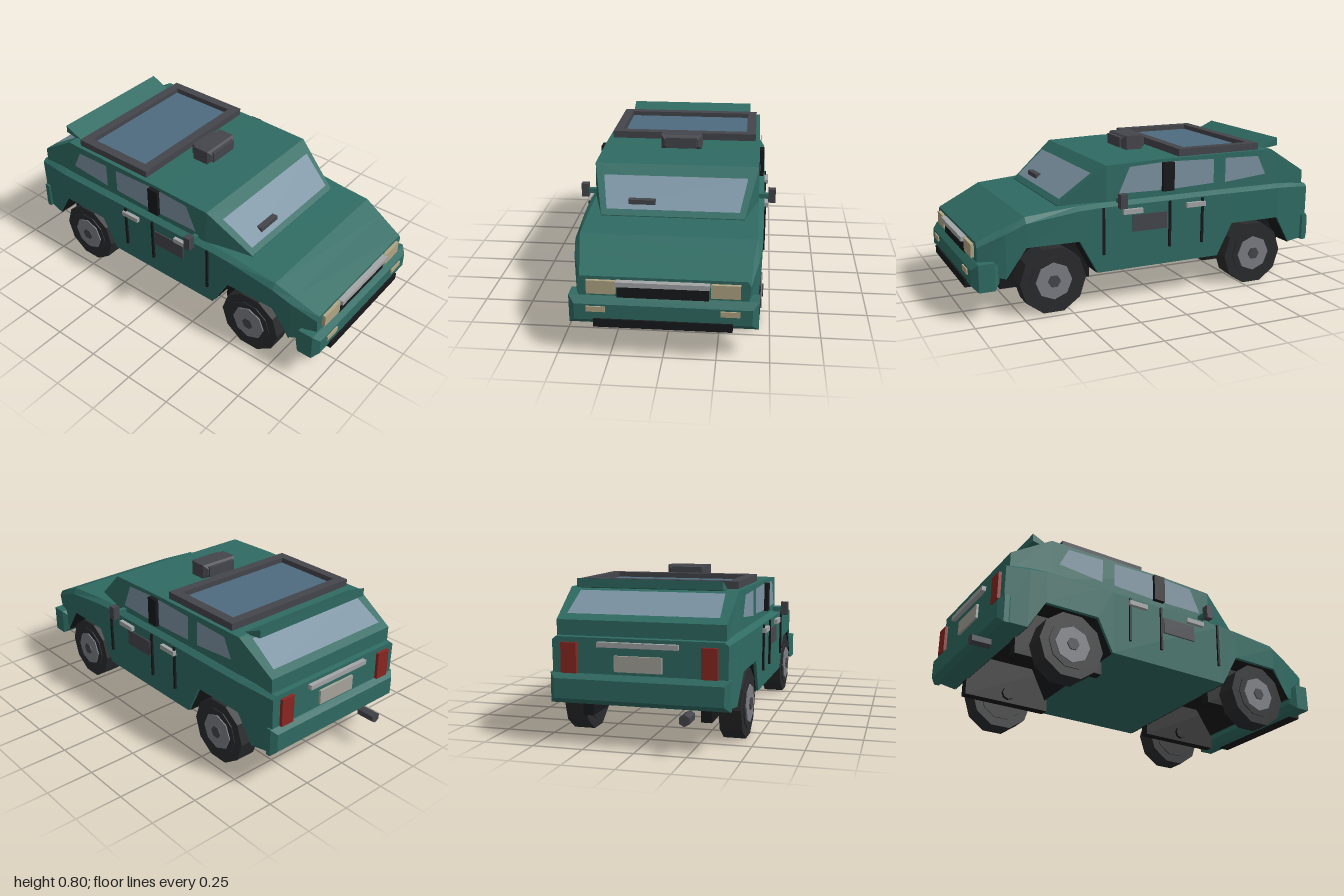
import * as THREE from 'three';

const mat = (color) => new THREE.MeshStandardMaterial({ color, flatShading: true, side: THREE.DoubleSide });
const paint = mat(0x2f6b63), black = mat(0x17181a), dark = mat(0x45464c), tyreMat = mat(0x2a2b2d);
const glass = mat(0x7b93a2), roofGlass = mat(0x4f6b80), chrome = mat(0xa3a5a6), lampMat = mat(0xb0a584);
const red = mat(0x8a2722), hubMat = mat(0x7c7e84), plateMat = mat(0xa8a59c);

export function createModel() {
  const car = new THREE.Group();
  car.name = 'car';

  const add = (name, geometry, material, x = 0, y = 0, z = 0, parent = car) => {
    const mesh = new THREE.Mesh(geometry, material);
    mesh.name = name;
    mesh.position.set(x, y, z);
    parent.add(mesh);
    return mesh;
  };

  // Box given by its limits on each axis
  const box = (name, material, [x0, x1], [y0, y1], [z0, z1]) =>
    add(name, new THREE.BoxGeometry(Math.abs(x1 - x0), Math.abs(y1 - y0), Math.abs(z1 - z0)), material,
      (x0 + x1) / 2, (y0 + y1) / 2, (z0 + z1) / 2);

  // The same box on both sides
  const pair = (name, material, [x0, x1], ys, zs) => {
    box('left' + name, material, [x0, x1], ys, zs);
    box('right' + name, material, [-x1, -x0], ys, zs);
  };

  // Box with all edges cut at 45 degrees
  const chamferBox = (w, h, d, c) => {
    const a = w / 2 - c, b = h / 2 - c;
    const shape = new THREE.Shape([[-a, -b], [a, -b], [a, b], [-a, b]].map((p) => new THREE.Vector2(...p)));
    return new THREE.ExtrudeGeometry(shape, {
      depth: d - 2 * c, bevelThickness: c, bevelSize: c, bevelSegments: 1,
    }).translate(0, 0, c - d / 2);
  };

  const mesh3 = (corners) => {
    const g = new THREE.BufferGeometry();
    g.setAttribute('position', new THREE.Float32BufferAttribute(corners.flat(), 3));
    g.computeVertexNormals();
    return g;
  };

  // Flat four-cornered panel
  const panel = (name, material, [a, b, c, d]) => add(name, mesh3([a, b, c, a, c, d]), material);

  // Mirrored cross-sections joined from front to back: [z, ...[halfWidth, y] from bottom to top]
  const loft = (stations) => {
    const rings = stations.map(([z, ...half]) => [
      ...half.map(([x, y]) => [x, y, z]),
      ...[...half].reverse().map(([x, y]) => [-x, y, z]),
    ]);
    const n = rings[0].length, out = [];
    for (let s = 0; s + 1 < rings.length; s++) {
      const a = rings[s], b = rings[s + 1];
      for (let i = 0; i < n; i++) {
        const j = (i + 1) % n;
        out.push(a[i], b[i], b[j], a[i], b[j], a[j]);
      }
    }
    const f = rings[0], r = rings[rings.length - 1];
    for (let i = 1; i + 1 < n; i++) out.push(f[0], f[i], f[i + 1], r[0], r[i + 1], r[i]);
    return mesh3(out);
  };

  // Lower body: z, floor y, floor half width, shoulder y and half width, top y and half width
  const lower = [
    [0.955, 0.23, 0.39, 0.365, 0.405, 0.39, 0.39],
    [0.82, 0.2, 0.435, 0.425, 0.438, 0.453, 0.412],
    [0.72, 0.35, 0.45, 0.47, 0.453, 0.5, 0.43],
    [0.445, 0.35, 0.455, 0.505, 0.456, 0.525, 0.428],
    [0.35, 0.175, 0.452, 0.51, 0.456, 0.53, 0.428],
    [-0.34, 0.18, 0.452, 0.515, 0.456, 0.535, 0.428],
    [-0.425, 0.35, 0.455, 0.515, 0.456, 0.535, 0.428],
    [-0.715, 0.35, 0.452, 0.515, 0.453, 0.535, 0.426],
    [-0.8, 0.2, 0.44, 0.51, 0.442, 0.53, 0.42],
    [-0.92, 0.21, 0.42, 0.5, 0.425, 0.515, 0.405],
  ];
  add('lowerBody', loft(lower.map(([z, yb, wb, ys, ws, yt, wt]) => [z, [wb, yb], [ws, ys], [wt, yt]])), paint);

  // Cabin
  add('cabin', loft([
    [0.53, [0.36, 0.5], [0.36, 0.522]],
    [0.29, [0.428, 0.5], [0.425, 0.715]],
    [0.0, [0.428, 0.5], [0.425, 0.724]],
    [-0.68, [0.426, 0.5], [0.42, 0.727]],
    [-0.895, [0.41, 0.5], [0.41, 0.592]],
  ]), paint);

  // Wheel wells, liners, axle stubs and wheels
  for (const [end, first, zc] of [['front', 1, 0.585], ['rear', 5, -0.565]]) {
    for (let i = first; i < first + 3; i++) {
      const [za, ya] = lower[i], [zb, yb] = lower[i + 1], w = 0.44;
      panel(end + 'WheelWell', black, [[-w, ya - 0.004, za], [w, ya - 0.004, za], [w, yb - 0.004, zb], [-w, yb - 0.004, zb]]);
    }
    pair(end + 'WheelLiner', black, [0.268, 0.32], [0.115, 0.355], [zc - 0.24, zc + 0.24]);
    for (const side of [1, -1]) {
      const wheel = new THREE.Group();
      wheel.name = (side > 0 ? 'left' : 'right') + (end === 'front' ? 'FrontWheel' : 'RearWheel');
      wheel.position.set(0, 0.165, zc);
      const disc = (name, r, x0, x1, sides, material) =>
        add(name, new THREE.CylinderGeometry(r, r, x1 - x0, sides).rotateZ(Math.PI / 2), material, side * (x0 + x1) / 2, 0, 0, wheel);
      disc('tyre', 0.173, 0.335, 0.445, 10, tyreMat);
      disc('sidewall', 0.125, 0.33, 0.45, 10, tyreMat);
      disc('hub', 0.095, 0.4, 0.456, 8, hubMat);
      disc('hubCap', 0.033, 0.44, 0.463, 6, dark);
      disc('axleStub', 0.035, 0.25, 0.34, 8, black);
      car.add(wheel);
    }
  }

  // Bumpers
  add('frontBumper', chamferBox(0.89, 0.14, 0.14, 0.03), paint, 0, 0.222, 0.92);
  add('rearBumper', chamferBox(0.87, 0.145, 0.075, 0.025), paint, 0, 0.272, -0.908);
  box('frontLip', black, [-0.325, 0.325], [0.15, 0.19], [0.93, 1]);

  // Nose: lamps and grille
  pair('Headlight', lampMat, [0.222, 0.358], [0.307, 0.374], [0.94, 0.972]);
  pair('FogLamp', lampMat, [0.268, 0.358], [0.226, 0.253], [0.97, 0.997]);
  box('grille', black, [-0.215, 0.212], [0.29, 0.352], [0.94, 0.967]);
  box('grilleTrim', chrome, [-0.22, 0.217], [0.352, 0.376], [0.94, 0.985]);

  // Tail: lamps, handle bar, plate, exhaust
  pair('TailLight', red, [0.3, 0.377], [0.345, 0.49], [-0.936, -0.9]);
  box('tailHandle', chrome, [-0.195, 0.195], [0.474, 0.498], [-0.943, -0.9]);
  box('plate', plateMat, [-0.115, 0.115], [0.36, 0.435], [-0.932, -0.9]);
  add('exhaust', new THREE.CylinderGeometry(0.028, 0.028, 0.1, 6).rotateX(Math.PI / 2), dark, -0.24, 0.168, -0.95);

  // Windscreen, rear window and wiper
  panel('windscreen', glass, [[-0.335, 0.548, 0.509], [0.335, 0.548, 0.509], [0.37, 0.673, 0.352], [-0.37, 0.673, 0.352]]);
  panel('rearWindow', glass, [[0.37, 0.618, -0.862], [-0.37, 0.618, -0.862], [-0.36, 0.714, -0.709], [0.36, 0.714, -0.709]]);
  box('wiper', dark, [-0.227, -0.09], [0.566, 0.59], [0.455, 0.487]);

  // Side windows: [z, y] corners
  const windows = [
    [[0.225, 0.568], [-0.015, 0.565], [-0.015, 0.71], [0.165, 0.7]],
    [[-0.08, 0.565], [-0.32, 0.575], [-0.32, 0.703], [-0.08, 0.71]],
    [[-0.39, 0.573], [-0.64, 0.597], [-0.59, 0.698], [-0.39, 0.703]],
  ];
  for (const side of [1, -1])
    for (const corners of windows)
      panel(side > 0 ? 'leftWindow' : 'rightWindow', glass, corners.map(([z, y]) => [side * 0.432, y, z]));

  // Side trim
  pair('DoorPillar', black, [0.41, 0.45], [0.56, 0.708], [-0.08, -0.015]);
  for (const z of [0.32, -0.05, -0.24]) pair('DoorSeam', black, [0.44, 0.465], [0.268, 0.51], [z - 0.006, z + 0.006]);
  for (const z of [0.163, -0.197]) pair('DoorHandle', chrome, [0.44, 0.476], [0.467, 0.492], [z - 0.054, z + 0.054]);
  pair('DoorPanel', dark, [0.44, 0.462], [0.37, 0.457], [-0.033, 0.16]);
  pair('MirrorArm', paint, [0.42, 0.48], [0.525, 0.55], [0.215, 0.24]);
  pair('Mirror', dark, [0.476, 0.514], [0.507, 0.58], [0.213, 0.25]);

  // Roof: framed skylight, pod and spoiler
  box('skylight', roofGlass, [-0.345, 0.345], [0.715, 0.738], [-0.56, -0.185]);
  pair('SkylightRail', dark, [0.35, 0.4], [0.715, 0.763], [-0.61, -0.13]);
  for (const z of [-0.155, -0.585]) box('skylightCrossbar', dark, [-0.35, 0.35], [0.715, 0.763], [z - 0.025, z + 0.025]);
  add('roofPod', chamferBox(0.22, 0.075, 0.13, 0.02), dark, 0, 0.762, -0.007);
  box('roofPodFace', dark, [-0.085, 0.085], [0.735, 0.79], [-0.08, 0.066]);
  add('spoiler', loft([
    [-0.655, [0.36, 0.718], [0.36, 0.727]],
    [-0.758, [0.36, 0.733], [0.36, 0.775]],
  ]), paint);

  return car;
}
